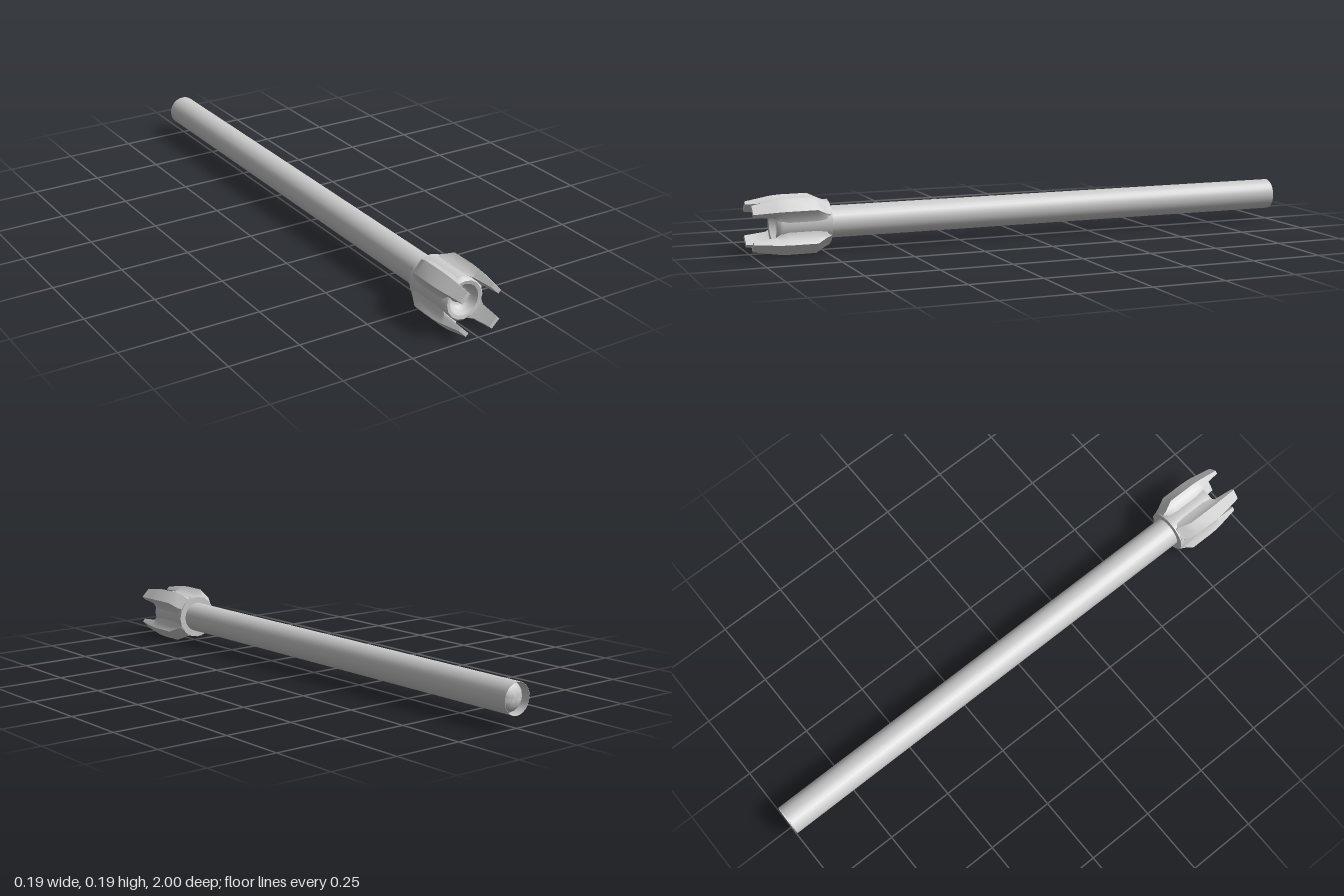
import * as THREE from 'three';
import { toCreasedNormals } from 'three/addons/utils/BufferGeometryUtils.js';

const AXIS_Y = 0.097;
const material = new THREE.MeshStandardMaterial({ color: 0xcccccc });

// Turned part along z; profile points are [radius, z] from back to front
function turned(name, profile, sides) {
  const geo = new THREE.LatheGeometry(profile.map(([r, z]) => new THREE.Vector2(r, z)), sides);
  geo.rotateX(Math.PI / 2);
  const mesh = new THREE.Mesh(toCreasedNormals(geo, 0.75), material);
  mesh.name = name;
  return mesh;
}

// Skin closed, counter-clockwise cross-sections of equal size and cap both ends
function loft(sections) {
  const n = sections[0].length;
  const last = (sections.length - 1) * n;
  const index = [];
  for (let i = 0; i < sections.length - 1; i++) {
    for (let j = 0; j < n; j++) {
      const a = i * n + j, b = i * n + (j + 1) % n;
      index.push(a, b, b + n, a, b + n, a + n);
    }
  }
  for (let j = 1; j < n - 1; j++) {
    index.push(0, j + 1, j, last, last + j, last + j + 1);
  }
  const geo = new THREE.BufferGeometry();
  geo.setAttribute('position', new THREE.Float32BufferAttribute(sections.flat(2), 3));
  geo.setIndex(index);
  return toCreasedNormals(geo, 0.6);
}

// Prong section: inner foot, shoulder and outer face as radius and half width
function prongSection([z, rIn, wIn, rMid, wMid, rOut, wOut]) {
  return [
    [rIn, -wIn, z], [rMid, -wMid, z], [rOut, -wOut, z],
    [rOut, wOut, z], [rMid, wMid, z], [rIn, wIn, z],
  ];
}

export function createModel() {
  const group = new THREE.Group();
  group.name = 'prongedRod';
  const rod = new THREE.Group();
  rod.name = 'rod';
  rod.position.y = AXIS_Y;
  group.add(rod);

  // Long shaft with a domed plug set just inside the back rim
  const plug = [];
  for (let i = 0; i <= 6; i++) {
    const t = (i / 6) * Math.PI / 2;
    plug.push([0.054 * Math.sin(t), -0.955 - 0.04 * Math.cos(t)]);
  }
  rod.add(turned('shaft', [...plug, [0.054, -1], [0.055, -1], [0.055, 0.75]], 24));

  // Head: collar, barrel, rounded rim, hollow cup and central nub
  const nub = [];
  for (let i = 0; i <= 5; i++) {
    const t = (i / 5) * Math.PI / 2;
    nub.push([0.023 * Math.cos(t), 0.88 + 0.023 * Math.sin(t)]);
  }
  rod.add(turned('head', [
    [0.05, 0.73], [0.079, 0.73], [0.079, 0.9], [0.075, 0.913], [0.067, 0.92],
    [0.055, 0.918], [0.05, 0.9], [0.04, 0.885], [0.03, 0.878], [0.023, 0.876],
    ...nub,
  ], 16));

  // Four prongs, filleted into the barrel and tapering to the tips
  const prongGeo = loft([
    [0.735, 0.06, 0.036, 0.07, 0.028, 0.078, 0.025],
    [0.75, 0.065, 0.04, 0.08, 0.029, 0.084, 0.027],
    [0.785, 0.065, 0.042, 0.085, 0.029, 0.107, 0.027],
    [0.88, 0.065, 0.042, 0.085, 0.029, 0.107, 0.027],
    [0.91, 0.068, 0.037, 0.083, 0.028, 0.105, 0.026],
    [0.925, 0.073, 0.027, 0.083, 0.027, 0.103, 0.025],
    [1, 0.077, 0.02, 0.083, 0.02, 0.091, 0.02],
  ].map(prongSection));
  for (let k = 0; k < 4; k++) {
    const prong = new THREE.Mesh(prongGeo, material);
    prong.name = 'prong' + (k + 1);
    prong.rotation.z = Math.PI / 4 + k * Math.PI / 2;
    rod.add(prong);
  }
  return group;
}
